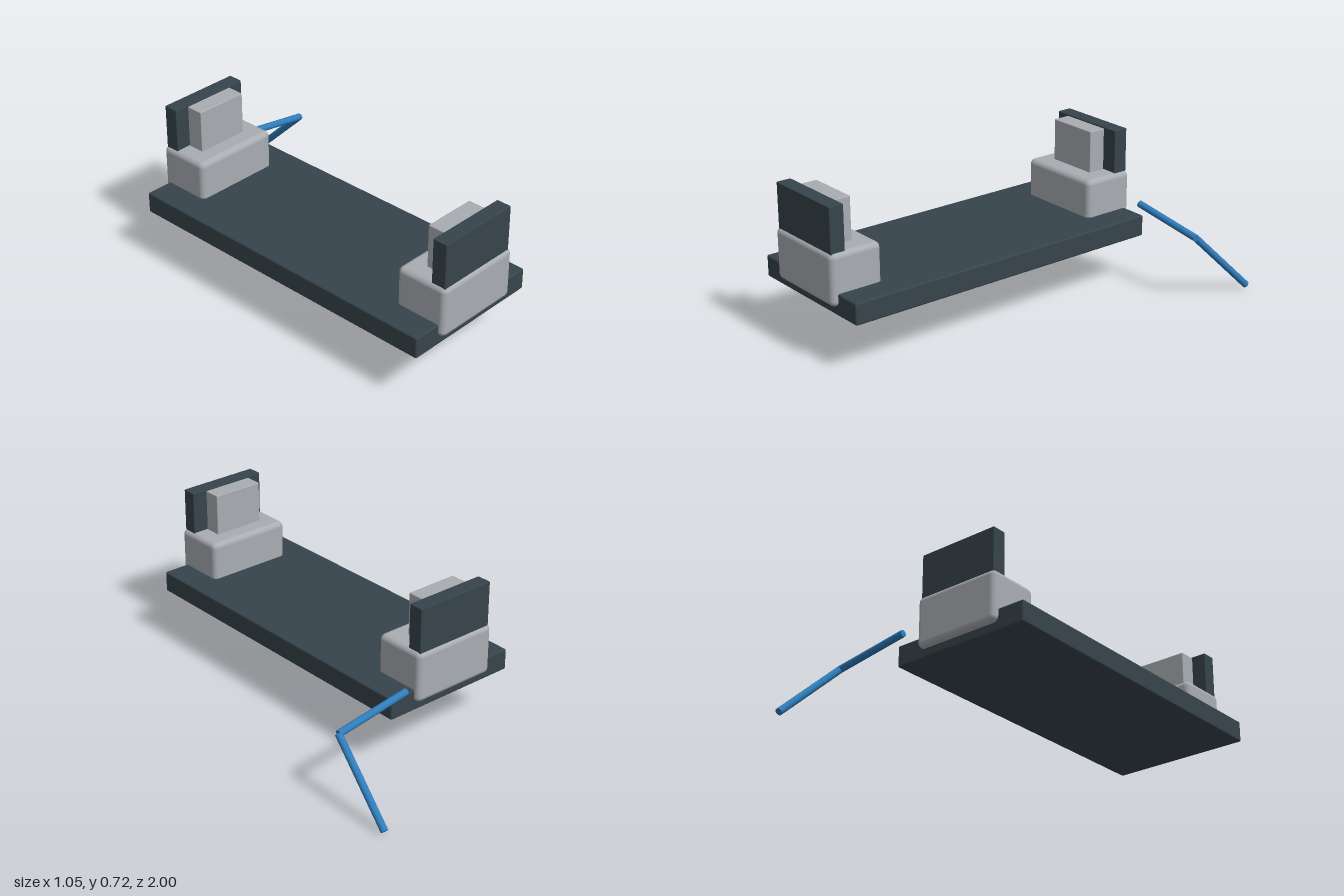
import * as THREE from 'three';
import { RoundedBoxGeometry } from 'three/addons/geometries/RoundedBoxGeometry.js';

const material = (name, color) => {
  const m = new THREE.MeshStandardMaterial({ color });
  m.name = name;
  return m;
};

export function createModel() {
  const dark = material('dark slate', 0x36444b);
  const grey = material('light grey', 0xa9adb2);
  const blue = material('blue', 0x2f7dbb);
  const model = new THREE.Group();
  model.name = 'benchClamp';

  // Softened box given by its extents on each axis
  const box = (name, mat, [x0, x1], [y0, y1], [z0, z1], radius, parent) => {
    const geo = new RoundedBoxGeometry(x1 - x0, y1 - y0, z1 - z0, 4, radius);
    const mesh = new THREE.Mesh(geo, mat);
    mesh.position.set((x0 + x1) / 2, (y0 + y1) / 2, (z0 + z1) / 2);
    mesh.name = name;
    parent.add(mesh);
  };

  box('base', dark, [-0.528, 0.162], [0.24, 0.341], [-0.643, 0.969], 0.008, model);

  // Two facing end units, mirrored about the middle of the base
  for (const [name, side] of [['frontEnd', 1], ['backEnd', -1]]) {
    const end = new THREE.Group();
    end.name = name;
    end.position.z = 0.164;
    const zRange = (a, b) => (side > 0 ? [a, b] : [-b, -a]);
    box('block', grey, [-0.397, 0.033], [0.281, 0.521], zRange(0.579, 0.834), 0.026, end);
    box('backPlate', dark, [-0.384, 0.018], [0.45, 0.726], zRange(0.752, 0.823), 0.004, end);
    box('pad', grey, [-0.313, -0.058], [0.45, 0.72], zRange(0.667, 0.752), 0.004, end);
    model.add(end);
  }

  // Bent handle made of two straight rods
  const rod = (name, a, b, radius) => {
    const dir = b.clone().sub(a);
    const mesh = new THREE.Mesh(new THREE.CylinderGeometry(radius, radius, dir.length(), 24), blue);
    mesh.position.copy(a).add(b).multiplyScalar(0.5);
    mesh.quaternion.setFromUnitVectors(new THREE.Vector3(0, 1, 0), dir.normalize());
    mesh.name = name;
    model.add(mesh);
  };
  const elbow = new THREE.Vector3(0.481, 0.316, -0.672);
  rod('handleUpperRod', new THREE.Vector3(0.107, 0.374, -0.672), elbow, 0.0165);
  rod('handleLowerRod', elbow, new THREE.Vector3(0.508, 0.013, -0.987), 0.0165);

  return model;
}
